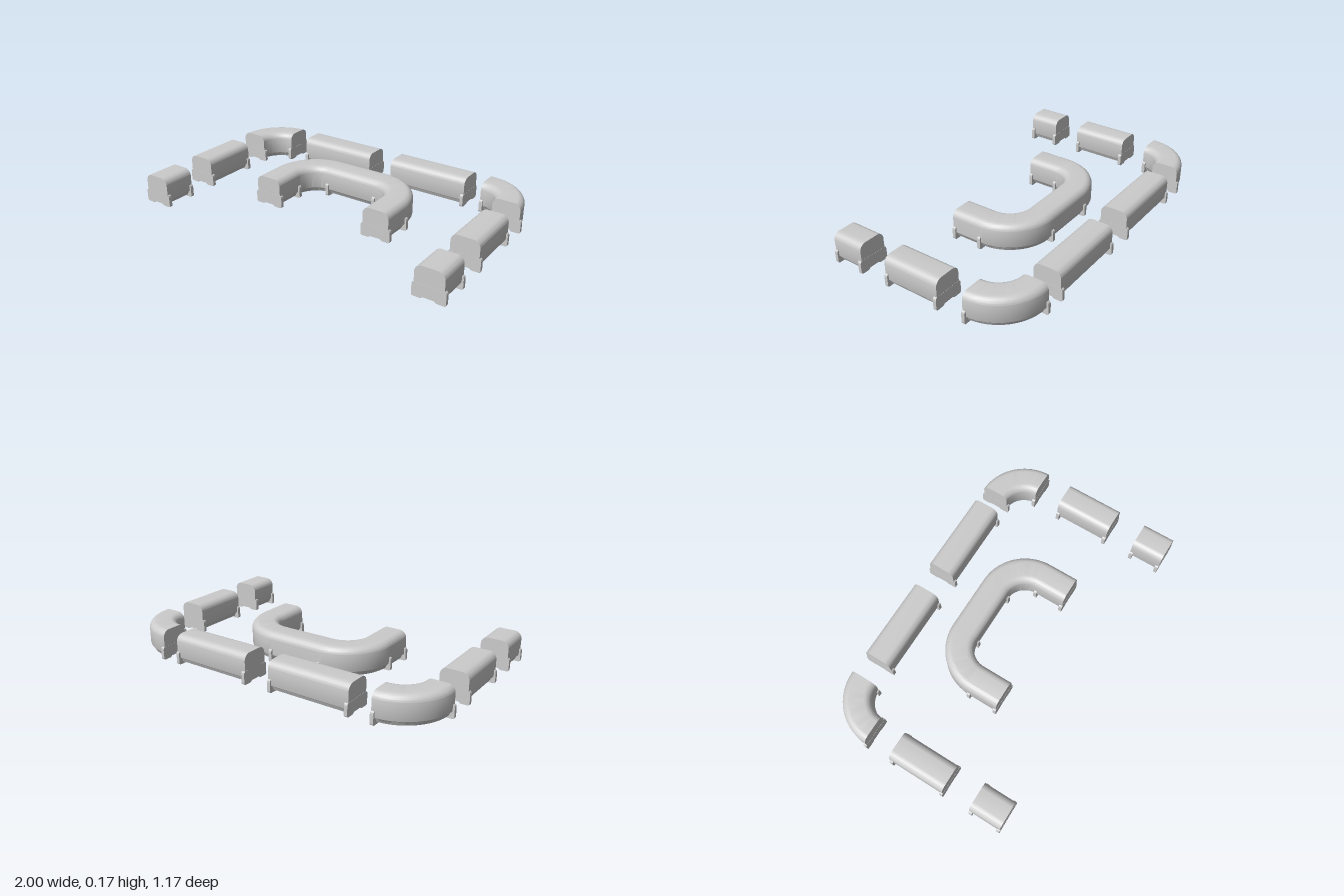
import * as THREE from 'three';
import { toCreasedNormals } from 'three/addons/utils/BufferGeometryUtils.js';

const material = new THREE.MeshStandardMaterial({ color: 0xcccccc });
const FRAME_DEPTH = 0.02;

// Cross-section of the bench body: rounded top, tucked-in base
function bodyProfile() {
  const w = 0.082, top = 0.175, r = 0.042;
  const s = new THREE.Shape();
  s.moveTo(-0.062, 0.012);
  s.lineTo(0.062, 0.012);
  s.lineTo(0.073, 0.036);
  s.quadraticCurveTo(w, 0.036, w, 0.048);
  s.lineTo(w, top - r);
  s.absarc(w - r, top - r, r, 0, Math.PI / 2, false);
  s.absarc(r - w, top - r, r, Math.PI / 2, Math.PI, false);
  s.lineTo(-w, 0.048);
  s.quadraticCurveTo(-w, 0.036, -0.073, 0.036);
  const pts = s.getPoints(6);
  return pts.filter((p, i) => i === 0 || p.distanceTo(pts[i - 1]) > 1e-5);
}

// Support frame: cradle with two feet and a shallow arch between them
function frameGeometry() {
  const half = [[0.03, 0.009], [0.04, 0.001], [0.045, 0], [0.083, 0], [0.09, 0.003],
    [0.0925, 0.01], [0.0925, 0.062], [0.0905, 0.071], [0.085, 0.076], [0.078, 0.078]];
  const pts = half.map(([x, y]) => new THREE.Vector2(x, y));
  const mirrored = half.map(([x, y]) => new THREE.Vector2(-x, y)).reverse();
  const geo = new THREE.ExtrudeGeometry(new THREE.Shape([...pts, ...mirrored]),
    { depth: FRAME_DEPTH, bevelEnabled: false });
  return geo.translate(0, 0, -FRAME_DEPTH / 2);
}

// Sweeps the profile through sections { x, z, a }, a being the heading in the xz plane
function sweep(profile, path) {
  const n = profile.length, pos = [], index = [];
  for (const { x, z, a } of path)
    for (const p of profile) pos.push(x - Math.sin(a) * p.x, p.y, z + Math.cos(a) * p.x);
  for (let j = 0; j < path.length - 1; j++)
    for (let i = 0; i < n; i++) {
      const k = (i + 1) % n, A = j * n + i, B = A + n, C = (j + 1) * n + k, D = j * n + k;
      index.push(A, B, C, A, C, D);
    }
  const last = (path.length - 1) * n;
  for (const [a, b, c] of THREE.ShapeUtils.triangulateShape(profile, []))
    index.push(a, b, c, last + c, last + b, last + a);
  const geo = new THREE.BufferGeometry();
  geo.setAttribute('position', new THREE.Float32BufferAttribute(pos, 3));
  geo.setIndex(index);
  return toCreasedNormals(geo, 0.5);
}

// Quarter or other arc sections around (cx, cz)
function arc(cx, cz, r, from, to, steps = 20) {
  return Array.from({ length: steps + 1 }, (_, i) => {
    const t = from + (to - from) * i / steps;
    return { x: cx + r * Math.cos(t), z: cz + r * Math.sin(t), a: t + Math.PI / 2 };
  });
}

function straight(x0, z0, x1, z1) {
  const a = Math.atan2(z1 - z0, x1 - x0);
  return [{ x: x0, z: z0, a }, { x: x1, z: z1, a }];
}

export function createModel() {
  const model = new THREE.Group();
  model.name = 'modularBenches';
  const profile = bodyProfile(), frameGeo = frameGeometry();

  // One bench: body plus a frame at each end and at any extra sections
  function bench(name, path, extraFrames = []) {
    const group = new THREE.Group();
    group.name = name;
    const body = new THREE.Mesh(sweep(profile, path), material);
    body.name = 'benchBody';
    group.add(body);
    const inset = (s, d) => ({ x: s.x + Math.cos(s.a) * d, z: s.z + Math.sin(s.a) * d, a: s.a });
    const d = FRAME_DEPTH / 2 - 0.001;
    for (const s of [inset(path[0], d), inset(path[path.length - 1], -d), ...extraFrames]) {
      const frame = new THREE.Mesh(frameGeo, material);
      frame.name = 'supportFrame';
      frame.position.set(s.x, 0, s.z);
      frame.rotation.y = -s.a - Math.PI / 2;
      group.add(frame);
    }
    model.add(group);
  }

  // Side benches
  for (const [side, x] of [['right', -0.908], ['left', 0.906]]) {
    bench(side + 'ShortBench', straight(x, 0.585, x, 0.392));
    bench(side + 'SideBench', straight(x, 0.22, x, -0.124));
  }

  // Back benches
  bench('rightBackBench', straight(-0.567, -0.495, -0.07, -0.495));
  bench('leftBackBench', straight(0.087, -0.495, 0.588, -0.495));

  // Curved corner benches
  const P = Math.PI;
  bench('rightCornerBench', arc(-0.696, -0.283, 0.212, P, 1.5 * P));
  bench('leftCornerBench', arc(0.693, -0.283, 0.212, 1.5 * P, 2 * P));

  // U-shaped middle bench
  const bendA = arc(-0.157, 0.037, 0.205, P, 1.5 * P);
  const bendB = arc(0.173, 0.037, 0.205, 1.5 * P, 2 * P);
  const start = { ...bendA[0], z: 0.22 };
  const end = { ...bendB[bendB.length - 1], z: 0.22 };
  bench('middleBench', [start, ...bendA, ...bendB, end],
    [bendA[0], bendA[bendA.length - 1], bendB[0], bendB[bendB.length - 1]]);

  return model;
}
